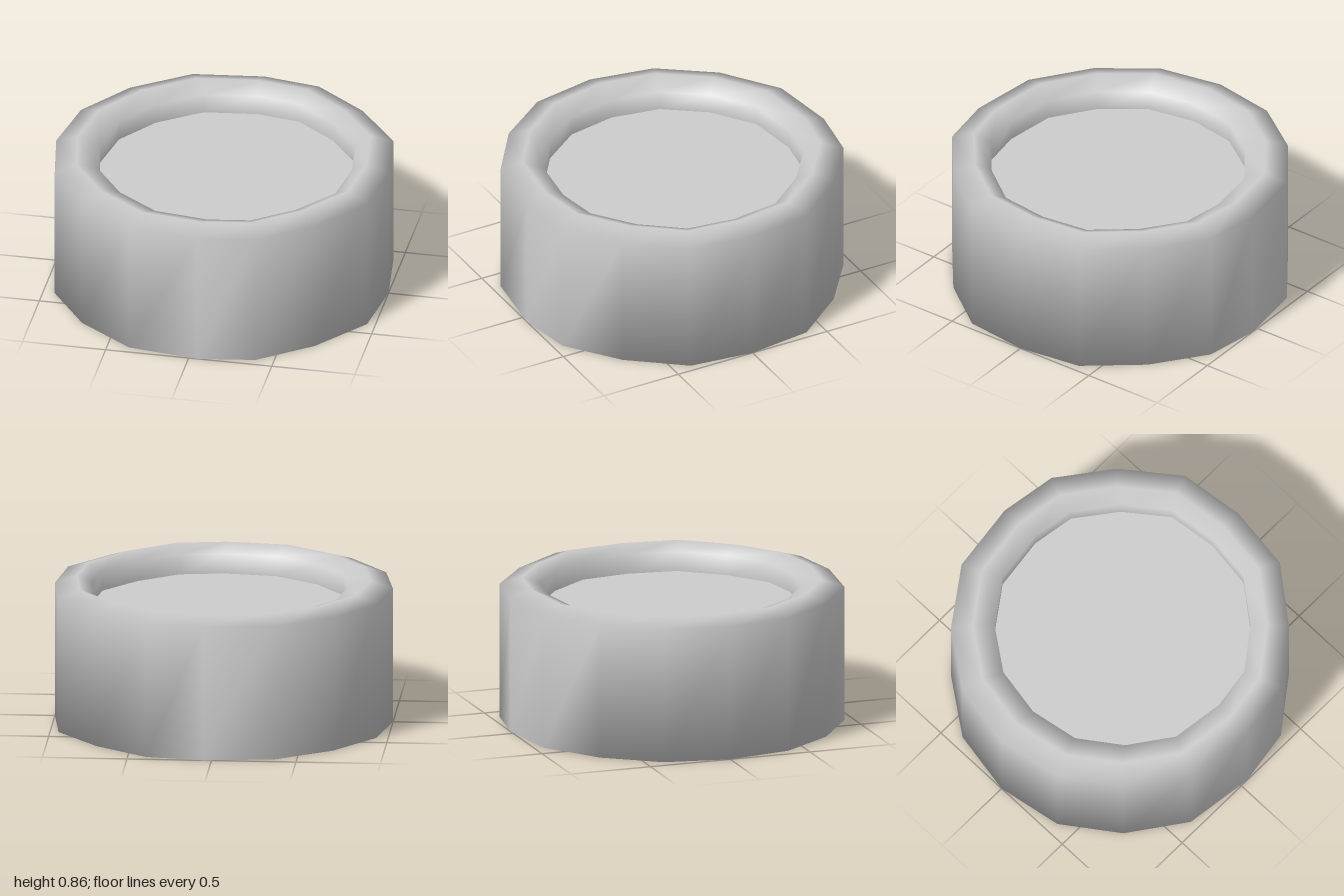
import * as THREE from 'three';

// Slightly uneven 16-sided outline as [x, z], counter-clockwise seen from above
const half = [[0.05, 1], [0.39, 0.945], [0.7, 0.71], [0.95, 0.39], [1, 0]];
const left = [[-1, 0], [-0.93, 0.39], [-0.7, 0.71], [-0.37, 0.945]];
const mirror = (pts) => pts.map(([x, z]) => [x, -z]).reverse();
const outline = [...half, ...mirror(half.slice(0, 4)), ...mirror(left.slice(1)), ...left];
const N = outline.length;

// The outline scaled by s at height y; the opening sits a little towards +x
function ring(s, y) {
  const shift = s < 0.8 ? 0.022 : 0;
  return outline.flatMap(([x, z]) => [x * s + shift, y, z * s]);
}

function smoothGeometry(positions, index) {
  const g = new THREE.BufferGeometry();
  g.setAttribute('position', new THREE.Float32BufferAttribute(positions, 3));
  g.setIndex(index);
  g.computeVertexNormals();
  return g;
}

// Cap in parallel strips across the outline, facing up
function capIndex() {
  const index = [];
  for (let i = 0; i < N / 2; i++) {
    const a = i, b = i + 1, c = (N - i - 1) % N, d = (N - i) % N;
    if (a !== d) index.push(a, b, d);
    if (b !== c) index.push(b, c, d);
  }
  return index;
}

export function createModel() {
  const group = new THREE.Group();
  const material = new THREE.MeshStandardMaterial({ color: 0xcccccc });

  // Outer wall, rounded rim and inner wall: [scale, height]
  const profile = [[1, 0], [1, 0.81], [0.87, 0.855], [0.757, 0.81], [0.757, 0.69]];
  const positions = profile.flatMap(([s, y]) => ring(s, y));
  const index = capIndex().reverse(); // underside, shaded smoothly into the wall
  for (let k = 0; k < profile.length - 1; k++) {
    for (let i = 0; i < N; i++) {
      const a = k * N + i, b = k * N + (i + 1) % N;
      index.push(a, b, b + N, a, b + N, a + N);
    }
  }
  const body = new THREE.Mesh(smoothGeometry(positions, index), material);
  body.name = 'bodyAndRim';
  group.add(body);

  // Flat recessed surface inside the rim
  const surface = new THREE.Mesh(smoothGeometry(ring(0.757, 0.69), capIndex()), material);
  surface.name = 'recessedTop';
  group.add(surface);

  return group;
}
